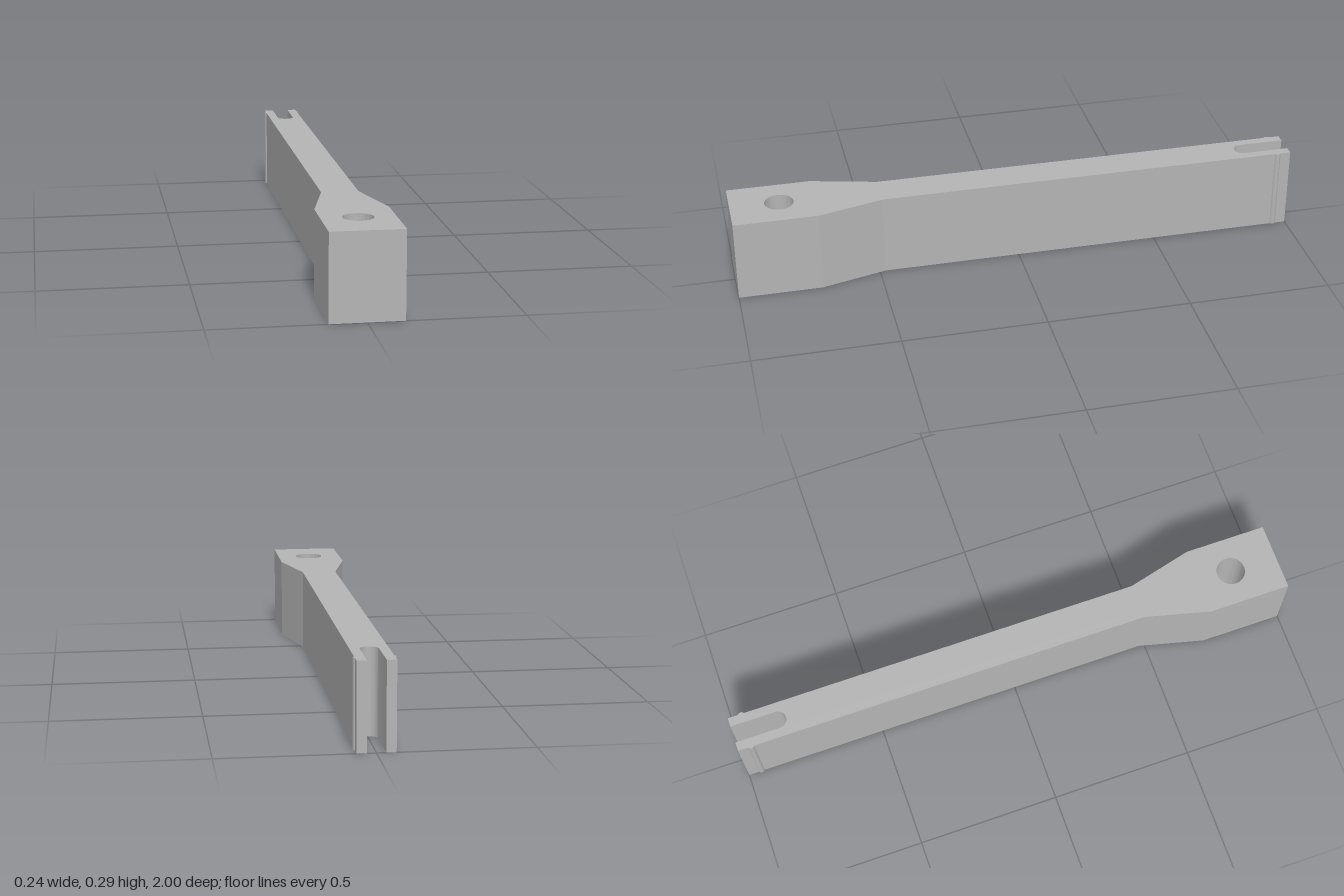
import * as THREE from 'three';
import { toCreasedNormals } from 'three/addons/utils/BufferGeometryUtils.js';

export function createModel() {
  const group = new THREE.Group();
  group.name = 'slottedArm';
  const grey = new THREE.MeshStandardMaterial({ color: 0xb4b4b4 });
  grey.name = 'grey';

  const height = 0.29, head = 0.12, shaft = 0.062, slot = 0.03;
  const ridgeY = 0.953, ridgeR = 0.012, ridgeX = shaft - ridgeR / 2, a = Math.PI / 3;

  // Plan outline: wide head, taper, shaft with side ridges, forked end
  const plan = new THREE.Shape();
  plan.moveTo(-head, -1);
  plan.lineTo(head, -1);
  plan.lineTo(head, -0.71);
  plan.lineTo(shaft, -0.48);
  plan.absarc(ridgeX, ridgeY, ridgeR, -a, a, false);
  plan.lineTo(shaft, 1);
  plan.lineTo(slot, 1);
  plan.absarc(0, 0.84, slot, 0, -Math.PI, true); // round slot end
  plan.lineTo(-slot, 1);
  plan.lineTo(-shaft, 1);
  plan.absarc(-ridgeX, ridgeY, ridgeR, Math.PI - a, Math.PI + a, false);
  plan.lineTo(-shaft, -0.48);
  plan.lineTo(-head, -0.71);
  plan.closePath();

  // Pivot hole through the head
  const hole = new THREE.Path();
  hole.absarc(0, -0.83, 0.05, 0, Math.PI * 2, true);
  plan.holes.push(hole);

  const extruded = new THREE.ExtrudeGeometry(plan, { depth: height, bevelEnabled: false, curveSegments: 48 });
  extruded.rotateX(-Math.PI / 2); // stand the extrusion upright, head to the front
  const arm = new THREE.Mesh(toCreasedNormals(extruded, 0.2), grey);
  arm.name = 'arm';
  group.add(arm);
  return group;
}
